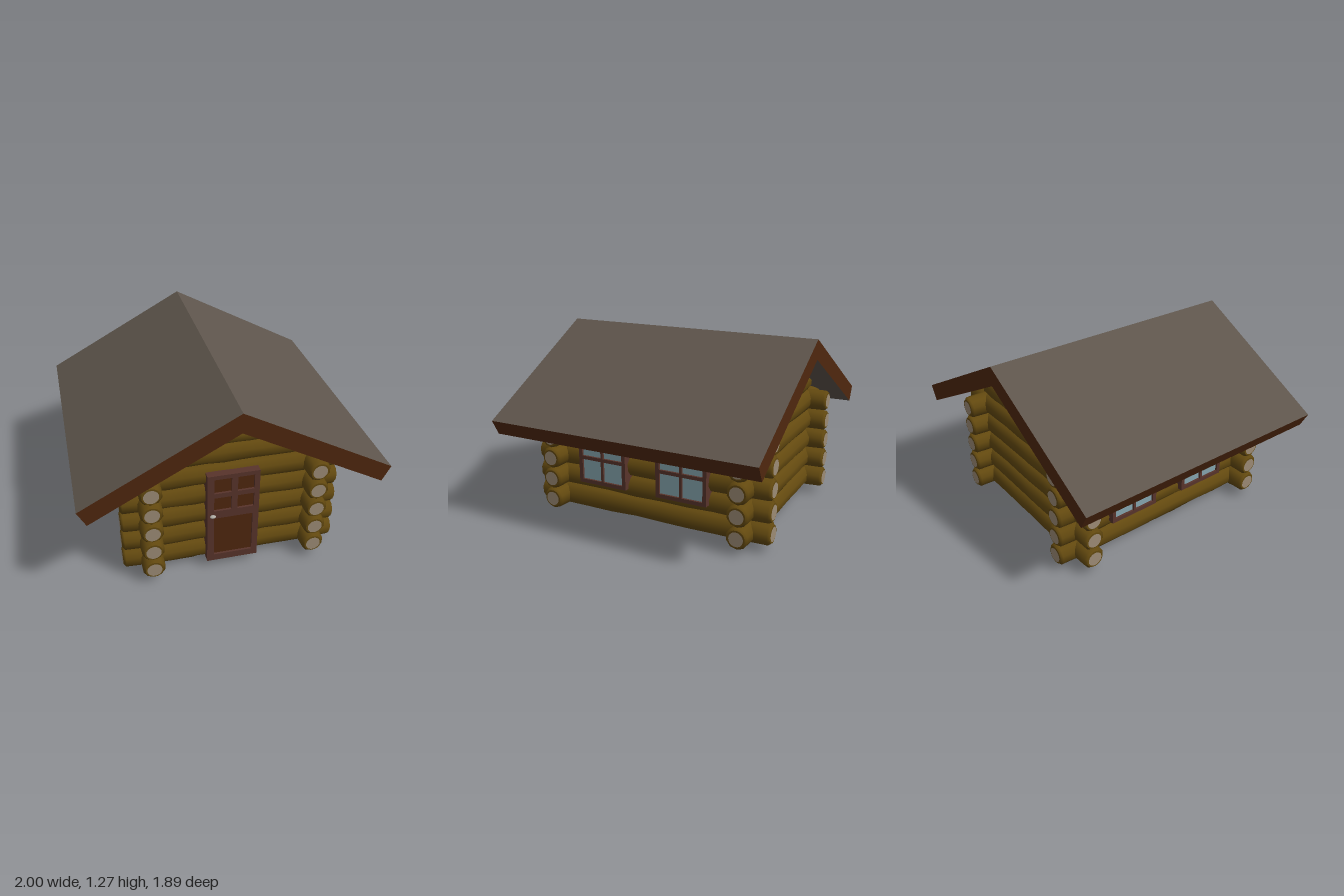
import * as THREE from 'three';

const mat = (color, extra = {}) => new THREE.MeshStandardMaterial({ color, ...extra });

export function createModel() {
  const house = new THREE.Group();
  house.name = 'logCabin';
  const bark = mat(0x63490f), cutWood = mat(0x9c8b75), slate = mat(0x5e554c);
  const trim = mat(0x4f270e), frameWood = mat(0x58342b), glass = mat(0x86a5ae);
  const metal = mat(0xb0aca4), dark = mat(0x3a2c0a);

  let seed = 7;
  const rand = () => (seed = (seed * 16807) % 2147483647) / 2147483647;

  function add(parent, name, geometry, material, x = 0, y = 0, z = 0) {
    const mesh = new THREE.Mesh(geometry, material);
    mesh.name = name;
    mesh.position.set(x, y, z);
    parent.add(mesh);
    return mesh;
  }
  const box = (parent, name, m, w, h, d, x, y, z) =>
    add(parent, name, new THREE.BoxGeometry(w, h, d), m, x, y, z);

  // Lumpy log along x with chamfered ends; sag lowers one stretch of its underside
  function log(name, x0, x1, r, sag = 0) {
    const group = new THREE.Group();
    group.name = name;
    const sides = 10, inner = 9, L = x1 - x0, pos = [], index = [];
    const rings = [[x0, 0.72], [x0 + 0.015, 0.95]];
    for (let i = 1; i < inner; i++) rings.push([x0 + (L * i) / inner, 1]);
    rings.push([x1 - 0.015, 0.95], [x1, 0.72]);
    rings.forEach(([x, s], i) => {
      const rough = s === 1 ? 0.1 : 0.03;
      for (let j = 0; j < sides; j++) {
        const a = ((j + 0.5) / sides) * Math.PI * 2;
        const rr = r * (s + (rand() - 0.4) * rough);
        const dip = i > 1 && i < 5 && Math.sin(a) < -0.9 ? sag : 0;
        pos.push(x, Math.sin(a) * rr - dip, Math.cos(a) * rr);
      }
    });
    for (let i = 0; i < rings.length - 1; i++)
      for (let j = 0; j < sides; j++) {
        const a = i * sides + j, b = i * sides + ((j + 1) % sides);
        index.push(a, a + sides, b, b, a + sides, b + sides);
      }
    const g = new THREE.BufferGeometry();
    g.setAttribute('position', new THREE.Float32BufferAttribute(pos, 3));
    g.setIndex(index);
    g.computeVertexNormals();
    add(group, 'bark', g, bark);
    // Bark rim and pale cut face on each end
    for (const [x, dir] of [[x0, -1], [x1, 1]]) {
      const rim = add(group, 'endRim', new THREE.CircleGeometry(r * 0.76, 20), bark, x, 0, 0);
      const cut = add(group, 'cutEnd', new THREE.CircleGeometry(r * 0.63, 20), cutWood, x + dir * 0.003, 0, 0);
      rim.rotation.y = cut.rotation.y = (dir * Math.PI) / 2;
    }
    return group;
  }

  // Walls of crossed logs
  for (let i = 0; i < 5; i++) {
    const y = 0.11 + i * 0.15;
    for (const s of [-1, 1]) {
      const cross = log(s > 0 ? 'frontLog' : 'backLog', -0.73, 0.72, 0.079, i === 0 && s > 0 ? 0.032 : 0);
      cross.position.set(0, y, s * 0.7);
      const side = log(s > 0 ? 'leftLog' : 'rightLog', -0.88, 0.88, 0.079);
      side.rotation.y = -Math.PI / 2;
      side.position.set(s * 0.545, y, 0);
      house.add(cross, side);
    }
  }

  // Gable logs, shorter towards the ridge
  for (const [y, half, r] of [[0.86, 0.5, 0.077], [0.97, 0.33, 0.056], [1.045, 0.2, 0.044], [1.1, 0.1, 0.032]])
    for (const s of [-1, 1]) {
      const gable = log('gableLog', -half, half, r);
      gable.position.set(0, y, s * 0.7);
      house.add(gable);
    }

  box(house, 'floor', dark, 1.08, 0.03, 1.4, 0, 0.075, 0);

  // Roof slopes: a box sheared into a mitred slab, slate faces and wooden edges
  for (const turn of [0, Math.PI]) {
    const g = new THREE.BoxGeometry(1, 1, 1.89);
    const p = g.attributes.position;
    for (let i = 0; i < p.count; i++) {
      const outer = p.getX(i) > 0, top = p.getY(i) > 0;
      p.setX(i, outer ? (top ? 1 : 0.945) : 0);
      p.setY(i, outer ? (top ? 0.725 : 0.62) : (top ? 1.265 : 1.13));
    }
    g.computeVertexNormals();
    add(house, 'roofSlope', g, [trim, trim, slate, slate, trim, trim]).rotation.y = turn;
  }

  // Frame with openings, extruded along +z; rectangles are [x0, y0, x1, y1]
  function rectPath(Type, [x0, y0, x1, y1]) {
    const p = new Type();
    p.moveTo(x0, y0).lineTo(x1, y0).lineTo(x1, y1).lineTo(x0, y1).closePath();
    return p;
  }
  function frame(outline, openings, depth) {
    const shape = rectPath(THREE.Shape, outline);
    shape.holes = openings.map((o) => rectPath(THREE.Path, o));
    return new THREE.ExtrudeGeometry(shape, { depth, bevelEnabled: false });
  }

  // Door
  const door = new THREE.Group();
  door.name = 'door';
  door.position.z = 0.73;
  add(door, 'doorFrame', frame([-0.18, 0.05, 0.165, 0.75], [
    [-0.135, 0.1, 0.125, 0.41],
    [-0.135, 0.47, -0.02, 0.575], [0.02, 0.47, 0.13, 0.575],
    [-0.135, 0.61, -0.02, 0.72], [0.02, 0.61, 0.13, 0.72],
  ], 0.09), frameWood);
  box(door, 'doorPanels', trim, 0.32, 0.67, 0.07, -0.0075, 0.4, 0.04);
  const knob = add(door, 'doorKnob', new THREE.SphereGeometry(0.02, 16, 10), metal, -0.147, 0.44, 0.105);
  knob.scale.set(1, 0.5, 0.7);
  const stem = add(door, 'knobStem', new THREE.CylinderGeometry(0.006, 0.006, 0.03, 8), metal, -0.147, 0.44, 0.092);
  stem.rotation.x = Math.PI / 2;
  house.add(door);

  // Two windows on each side wall
  for (const s of [-1, 1])
    for (const c of [0.2825, -0.3175]) {
      const win = new THREE.Group();
      win.name = 'window';
      const panes = [];
      for (const x of [-0.157, 0.009]) for (const y of [-0.157, 0.012]) panes.push([x, y, x + 0.148, y + 0.145]);
      add(win, 'windowFrame', frame([-0.184, -0.184, 0.184, 0.184], panes, 0.1), frameWood);
      box(win, 'glass', glass, 0.35, 0.35, 0.08, 0, 0, 0.045);
      win.rotation.y = (s * Math.PI) / 2;
      win.position.set(s * 0.56, 0.437, -s * c);
      house.add(win);
    }
  return house;
}
